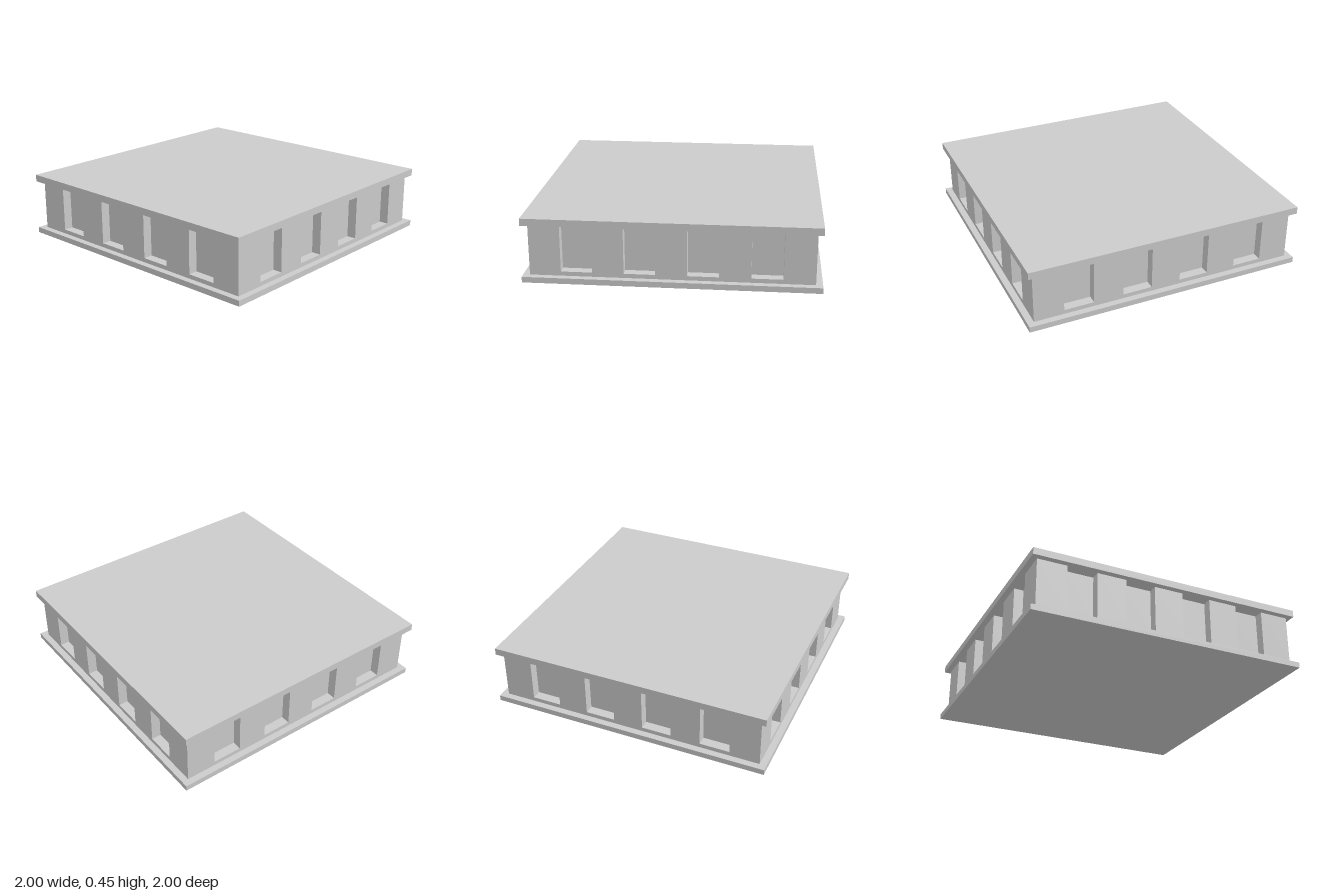
import * as THREE from 'three';

const BODY = 0.954;      // half width of the body
const DEPTH = 0.067;     // recess depth
const FLOOR = 0.07;      // height of the recess sills
const TOP = 0.4;         // underside of the top slab

export function createModel() {
  const model = new THREE.Group();
  const material = new THREE.MeshStandardMaterial({ color: 0xcccccc, flatShading: true });

  function add(name, geometry, x = 0, y = 0, z = 0) {
    const mesh = new THREE.Mesh(geometry, material);
    mesh.name = name;
    mesh.position.set(x, y, z);
    model.add(mesh);
  }
  const slab = (name, size, y0, y1, x = 0, z = 0) =>
    add(name, new THREE.BoxGeometry(size, y1 - y0, size), x, (y0 + y1) / 2, z);

  slab('basePlate', 2, 0, 0.04);
  slab('bodySill', BODY * 2, 0.04, FLOOR);
  slab('topSlab', 1.987, TOP, 0.45, -0.003, 0.003);

  // Notched plan: each side is nine equal bays, alternately pier and recess
  const bay = (BODY * 2) / 9;
  const points = [];
  for (let side = 0; side < 4; side++) {
    const angle = (side * Math.PI) / 2;
    const put = (x, y) =>
      points.push(new THREE.Vector2(x, y).rotateAround(new THREE.Vector2(), angle));
    put(-BODY, -BODY);
    for (let i = 1; i < 9; i += 2) {
      const a = -BODY + i * bay;
      const b = a + bay;
      put(a, -BODY);
      put(a, -BODY + DEPTH);
      put(b, -BODY + DEPTH);
      put(b, -BODY);
    }
  }
  const walls = new THREE.ExtrudeGeometry(new THREE.Shape(points), {
    depth: TOP - FLOOR,
    bevelEnabled: false,
  });
  walls.rotateX(-Math.PI / 2);
  add('recessedWalls', walls, 0, FLOOR, 0);

  return model;
}
